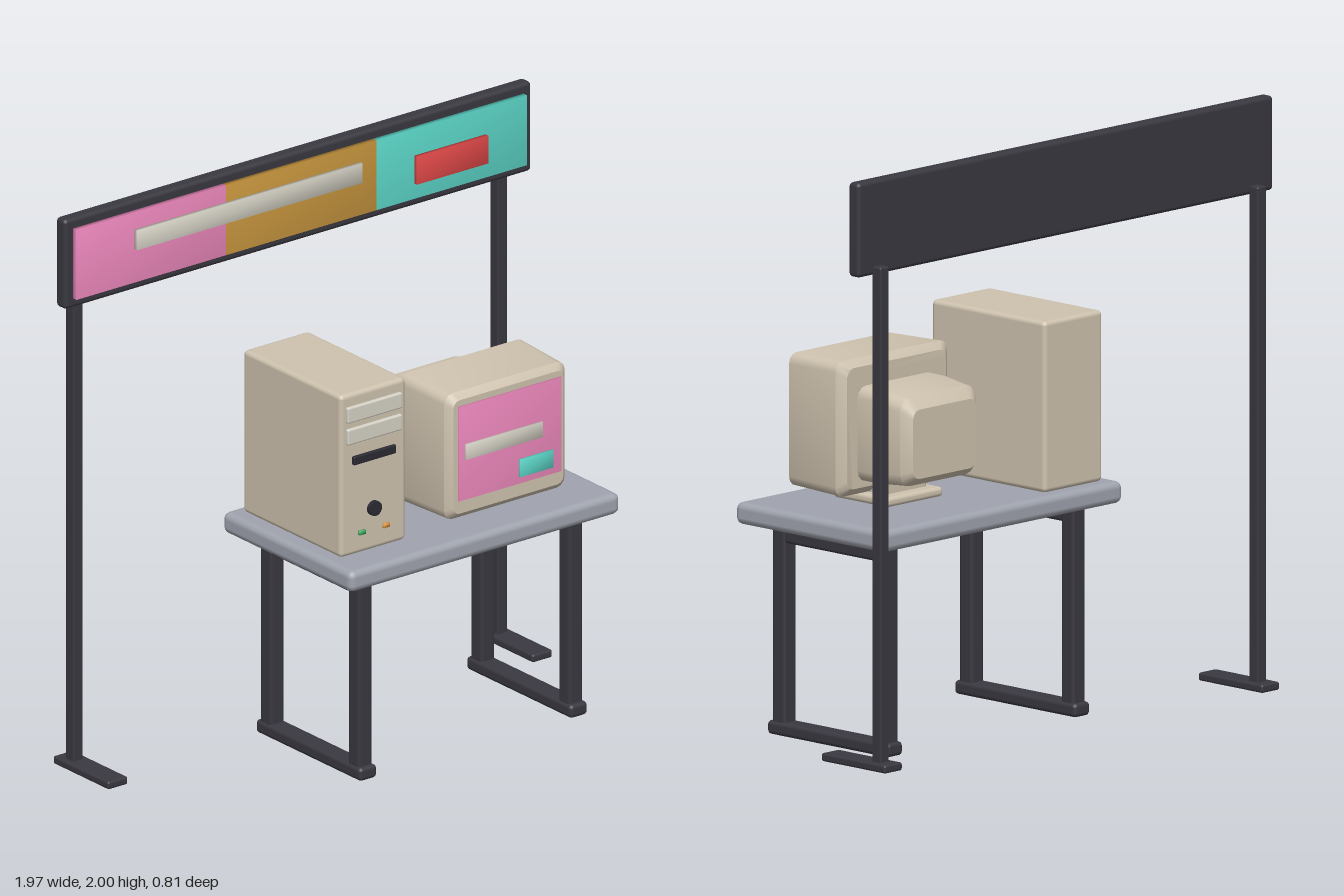
import * as THREE from 'three';
import { RoundedBoxGeometry } from 'three/addons/geometries/RoundedBoxGeometry.js';
import { mergeVertices, toCreasedNormals } from 'three/addons/utils/BufferGeometryUtils.js';

const mat = (color) => new THREE.MeshStandardMaterial({ color });
const M = {
  dark: mat(0x3a3840), grey: mat(0xa0a4ae), beige: mat(0xcfc3af), pale: mat(0xd6d2c6),
  pink: mat(0xf08abf), ochre: mat(0xc8963e), teal: mat(0x5cd6c8), red: mat(0xe04848),
  black: mat(0x2c2a32), green: mat(0x3fae62), amber: mat(0xe0963a),
};

// All blocks are given by their extents: [x0, x1], [y0, y1], [z0, z1]
function place(parent, name, geo, material, x, y, z) {
  const mesh = new THREE.Mesh(geo, material);
  mesh.name = name;
  mesh.position.set((x[0] + x[1]) / 2, (y[0] + y[1]) / 2, (z[0] + z[1]) / 2);
  parent.add(mesh);
  return mesh;
}
const len = (r) => r[1] - r[0];

// Block with bevelled edges
function block(parent, name, material, x, y, z, r) {
  return place(parent, name, new RoundedBoxGeometry(len(x), len(y), len(z), 2, r), material, x, y, z);
}

// Thin plate with normals blended over its edges
function plate(parent, name, material, x, y, z) {
  let geo = new THREE.BoxGeometry(len(x), len(y), len(z));
  geo.deleteAttribute('normal');
  geo.deleteAttribute('uv');
  geo = mergeVertices(geo);
  geo.computeVertexNormals();
  return place(parent, name, geo, material, x, y, z);
}

// Shell through rounded-corner rectangles, back to front: [z, x0, x1, y0, y1, corner]
function loft(parent, name, material, sections) {
  const pos = [], idx = [], steps = 3, n = 4 * (steps + 1);
  for (const [z, x0, x1, y0, y1, r] of sections) {
    const corners = [[x1 - r, y1 - r], [x0 + r, y1 - r], [x0 + r, y0 + r], [x1 - r, y0 + r]];
    corners.forEach(([cx, cy], c) => {
      for (let s = 0; s <= steps; s++) {
        const a = (c + s / steps) * Math.PI / 2;
        pos.push(cx + r * Math.cos(a), cy + r * Math.sin(a), z);
      }
    });
  }
  const last = (sections.length - 1) * n;
  for (let k = 0; k < last; k += n) {
    for (let i = 0; i < n; i++) {
      const j = (i + 1) % n;
      idx.push(k + i, k + j, k + n + j, k + i, k + n + j, k + n + i);
    }
  }
  for (let i = 1; i < n - 1; i++) idx.push(0, i + 1, i, last, last + i, last + i + 1);
  const geo = new THREE.BufferGeometry();
  geo.setAttribute('position', new THREE.Float32BufferAttribute(pos, 3));
  geo.setIndex(idx);
  const mesh = new THREE.Mesh(toCreasedNormals(geo, 0.6), material);
  mesh.name = name;
  parent.add(mesh);
}

function group(parent, name) {
  const g = new THREE.Group();
  g.name = name;
  parent.add(g);
  return g;
}

function buildSign(root) {
  const g = group(root, 'overheadSign');
  block(g, 'signBoard', M.dark, [-0.985, 0.985], [1.68, 2], [-0.33, -0.28], 0.014);
  const panelY = [1.715, 1.965], panelZ = [-0.282, -0.261], labelZ = [-0.262, -0.247];
  plate(g, 'pinkPanel', M.pink, [-0.95, -0.32], panelY, panelZ);
  plate(g, 'ochrePanel', M.ochre, [-0.32, 0.315], panelY, panelZ);
  plate(g, 'tealPanel', M.teal, [0.315, 0.95], panelY, panelZ);
  plate(g, 'paleStrip', M.pale, [-0.705, 0.245], [1.835, 1.905], labelZ);
  plate(g, 'redBadge', M.red, [0.475, 0.775], [1.77, 1.87], labelZ);
  for (const x of [-0.895, 0.895]) {
    block(g, 'signPost', M.dark, [x - 0.021, x + 0.021], [0.02, 1.71], [-0.364, -0.322], 0.006);
    block(g, 'signFoot', M.dark, [x - 0.042, x + 0.042], [0.006, 0.034], [-0.405, -0.108], 0.008);
  }
}

function buildTable(root) {
  const g = group(root, 'table');
  block(g, 'tableTop', M.grey, [-0.32, 0.82], [0.715, 0.79], [-0.285, 0.407], 0.024);
  for (const x of [-0.195, 0.693]) {
    for (const z of [0.298, -0.172])
      block(g, 'tableLeg', M.dark, [x - 0.03, x + 0.03], [0.02, 0.717], [z - 0.03, z + 0.03], 0.012);
    block(g, 'floorRail', M.dark, [x - 0.037, x + 0.037], [0, 0.047], [-0.217, 0.345], 0.014);
    block(g, 'upperRail', M.dark, [x - 0.025, x + 0.025], [0.653, 0.702], [-0.18, 0.3], 0.012);
  }
}

function buildTower(root) {
  const g = group(root, 'computerTower');
  block(g, 'towerCase', M.beige, [-0.267, 0.01], [0.79, 1.37], [-0.24, 0.285], 0.016);
  for (const y of [1.192, 1.27])
    block(g, 'driveBay', M.pale, [-0.245, -0.014], [y, y + 0.056], [0.275, 0.297], 0.006);
  block(g, 'diskSlot', M.black, [-0.219, -0.04], [1.115, 1.145], [0.275, 0.297], 0.004);
  const button = new THREE.CylinderGeometry(0.026, 0.026, 0.024, 20).rotateX(Math.PI / 2);
  place(g, 'powerButton', button, M.black, [-0.156, -0.104], [0.914, 0.966], [0.276, 0.3]);
  plate(g, 'greenLight', M.green, [-0.193, -0.168], [0.858, 0.873], [0.28, 0.294]);
  plate(g, 'amberLight', M.amber, [-0.091, -0.066], [0.858, 0.873], [0.28, 0.294]);
}

function buildMonitor(root) {
  const g = group(root, 'monitor');
  // Main housing, widest near the back
  loft(g, 'monitorHousing', M.beige, [
    [0.065, 0.165, 0.635, 0.85, 1.26, 0.03],
    [0.09, 0.135, 0.665, 0.825, 1.285, 0.035],
    [0.315, 0.146, 0.654, 0.83, 1.28, 0.035],
    [0.337, 0.168, 0.632, 0.852, 1.258, 0.025],
  ]);
  // Tapered tube cover behind it
  loft(g, 'tubeCover', M.beige, [
    [-0.158, 0.25, 0.55, 0.905, 1.14, 0.03],
    [-0.125, 0.222, 0.578, 0.878, 1.18, 0.045],
    [0.0, 0.215, 0.585, 0.87, 1.193, 0.04],
    [0.08, 0.215, 0.585, 0.87, 1.193, 0.04],
  ]);
  block(g, 'monitorBase', M.beige, [0.268, 0.535], [0.788, 0.822], [-0.025, 0.23], 0.014);
  block(g, 'monitorNeck', M.beige, [0.3, 0.5], [0.81, 0.88], [0.02, 0.2], 0.012);
  plate(g, 'screen', M.pink, [0.186, 0.618], [0.9, 1.236], [0.325, 0.345]);
  plate(g, 'screenStrip', M.pale, [0.21, 0.533], [1.045, 1.1], [0.34, 0.352]);
  plate(g, 'screenButton', M.teal, [0.438, 0.578], [0.925, 0.988], [0.34, 0.352]);
}

export function createModel() {
  const root = new THREE.Group();
  root.name = 'computerStall';
  buildSign(root);
  buildTable(root);
  buildTower(root);
  buildMonitor(root);
  return root;
}
